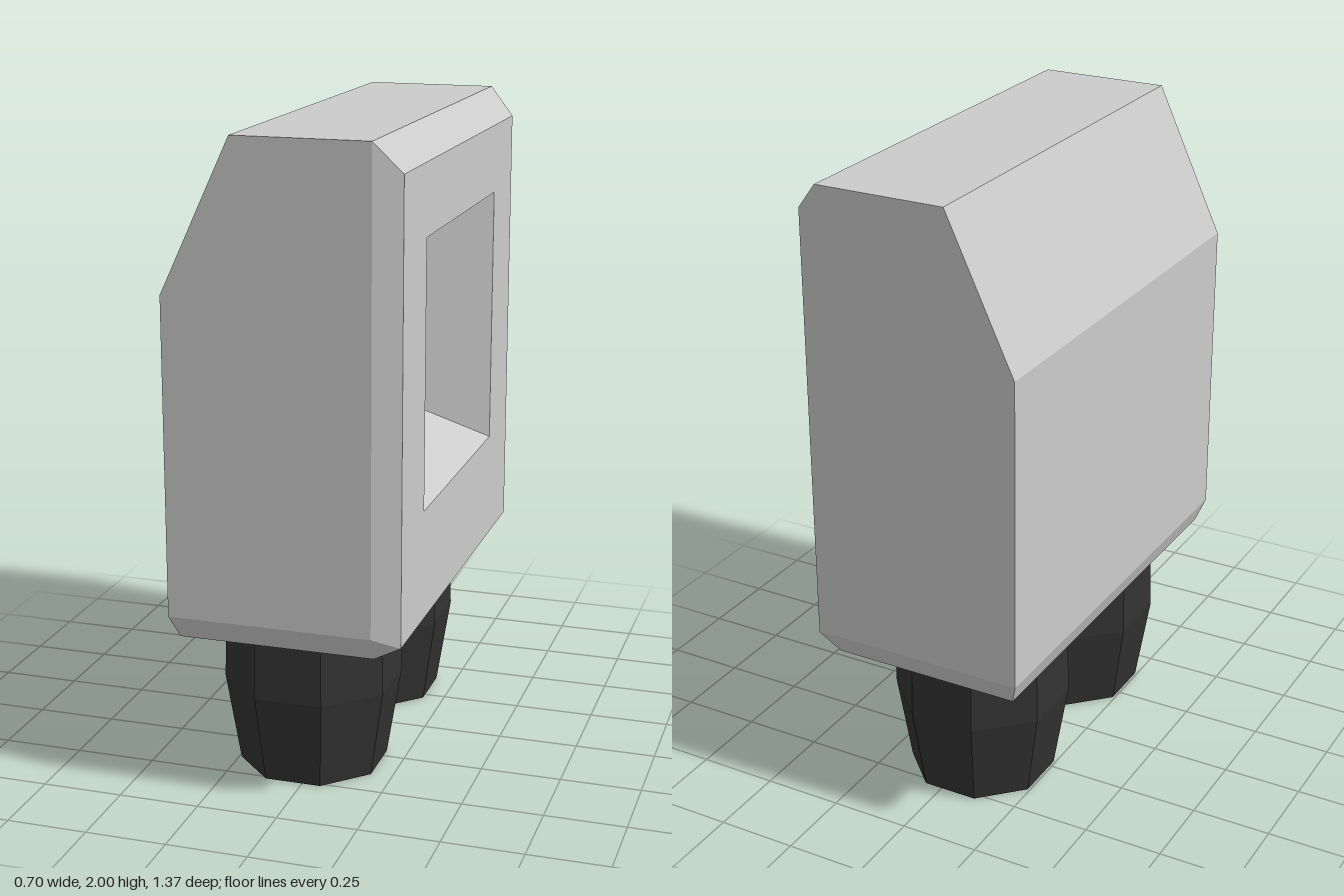
import * as THREE from 'three';

// Six-point section in the zy plane at a given x: bottom edge, lower chamfer, top edge
const section = (x, yBottom, zBottom, yChamfer, z, yTop) => [
  [yBottom, zBottom], [yBottom, -zBottom], [yChamfer, -z],
  [yTop, -z], [yTop, z], [yChamfer, z],
].map(([y, zz]) => new THREE.Vector3(x, y, zz));

const rect = (x, y0, y1, z) => section(x, y0, z, y0, z, y1);

// Skin a row of sections and close both ends
function skin(sections) {
  const points = [];
  const tri = (a, b, c) => {
    if (a.equals(b) || b.equals(c) || c.equals(a)) return;
    for (const p of [a, b, c]) points.push(p);
  };
  for (let s = 0; s < sections.length - 1; s++) {
    const a = sections[s], b = sections[s + 1];
    for (let i = 0; i < a.length; i++) {
      const j = (i + 1) % a.length;
      tri(a[i], a[j], b[j]);
      tri(a[i], b[j], b[i]);
    }
  }
  const first = sections[0], last = sections[sections.length - 1];
  for (let i = 1; i < first.length - 1; i++) {
    tri(first[0], first[i + 1], first[i]);
    tri(last[0], last[i], last[i + 1]);
  }
  const geometry = new THREE.BufferGeometry().setFromPoints(points);
  geometry.computeVertexNormals();
  return geometry;
}

export function createModel() {
  const group = new THREE.Group();
  const grey = new THREE.MeshStandardMaterial({ color: 0xcccccc, flatShading: true });
  const dark = new THREE.MeshStandardMaterial({ color: 0x333333, flatShading: true });

  // Chamfered housing, running from the sloped side to the face with the sunken square
  const housing = new THREE.Mesh(skin([
    rect(-0.355, 0.57, 1.54, 0.685),
    section(-0.33, 0.5, 0.655, 0.57, 0.685, 1.593),
    section(-0.14, 0.5, 0.655, 0.57, 0.685, 2),
    section(0.27, 0.5, 0.655, 0.57, 0.685, 2),
    rect(0.35, 0.54, 1.91, 0.65),
    rect(0.35, 0.88, 1.695, 0.41),
    rect(0.09, 1.015, 1.56, 0.275),
  ]), grey);
  housing.name = 'housing';
  group.add(housing);

  // Hollow octagonal legs; profile runs up the inside, round the rim and up the outside
  const flat = Math.cos(Math.PI / 8);
  const profile = [
    [0.225, 0.5], [0.23, 0.28], [0.188, 0], [0.2125, 0], [0.255, 0.28], [0.25, 0.5],
  ].map(([apothem, y]) => new THREE.Vector2(apothem / flat, y));
  const legGeometry = new THREE.LatheGeometry(profile, 8, Math.PI / 8);
  [['frontLeg', 0.3], ['backLeg', -0.31]].forEach(([name, z]) => {
    const leg = new THREE.Mesh(legGeometry, dark);
    leg.name = name;
    leg.position.set(-0.03, 0, z);
    group.add(leg);
  });

  return group;
}
